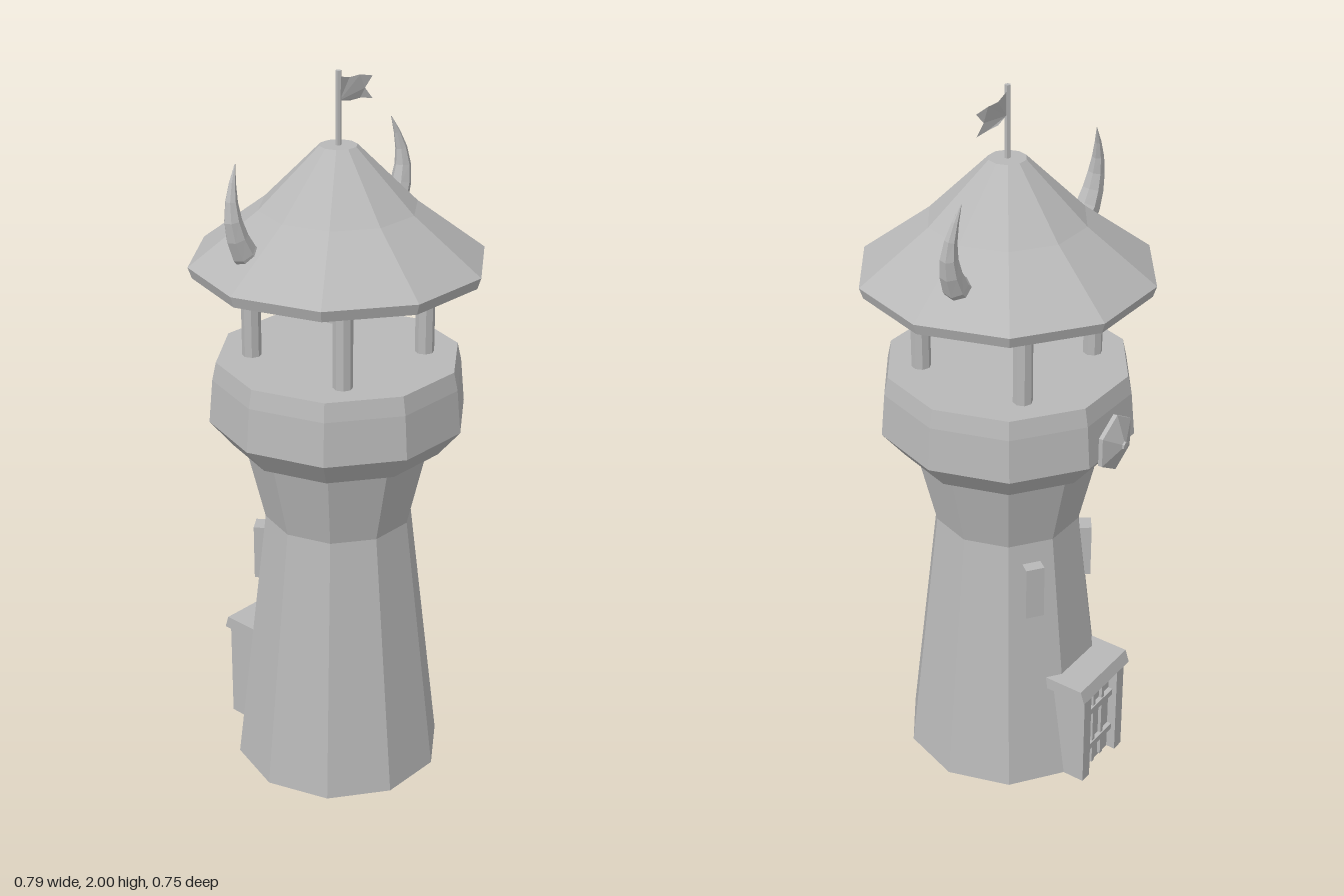
import * as THREE from 'three';

const SIDES = 10;

export function createModel() {
  const root = new THREE.Group();
  const stone = new THREE.MeshStandardMaterial({ color: 0xb8b8b8 });
  stone.name = 'plain grey';
  stone.flatShading = true;
  stone.side = THREE.DoubleSide;

  const add = (name, geometry, x = 0, y = 0, z = 0, parent = root) => {
    const mesh = new THREE.Mesh(geometry, stone);
    mesh.name = name;
    mesh.position.set(x, y, z);
    parent.add(mesh);
    return mesh;
  };
  const box = (name, w, h, d, x, y, z, parent) => add(name, new THREE.BoxGeometry(w, h, d), x, y, z, parent);
  // Ten-sided turned shape with a corner on the x axis
  const turned = (name, profile) => add(name, new THREE.LatheGeometry(
    profile.map(([r, y]) => new THREE.Vector2(r, y)), SIDES, Math.PI / 2));

  // Main masses; the tower is open below and the roof is hollow
  turned('tower', [[0.295, 0], [0.205, 0.77], [0.262, 1.01]]);
  turned('platform', [[0.255, 0.995], [0.29, 0.995], [0.352, 1.07], [0.341, 1.19], [0.33, 1.24], [0, 1.24]]);
  turned('roof', [[0.375, 1.48], [0.385, 1.48], [0.395, 1.51], [0.21, 1.65], [0.05, 1.81], [0, 1.81]]);

  // Four posts between platform and roof
  for (const x of [-0.163, 0.163]) for (const z of [-0.163, 0.163]) {
    add('roofPost', new THREE.CylinderGeometry(0.026, 0.026, 0.25, 8), x, 1.36, z);
  }

  // Curved, tapering horns through the roof
  const horn = (side) => {
    const path = new THREE.CatmullRomCurve3([
      [0.225, 1.525, -0.05], [0.295, 1.59, -0.053], [0.324, 1.68, -0.058], [0.317, 1.745, -0.066], [0.294, 1.81, -0.075],
    ].map(([x, y, z]) => new THREE.Vector3(side * x, y, z)));
    const rings = 7, around = 7;
    const geometry = new THREE.TubeGeometry(path, rings, 1, around);
    const pos = geometry.attributes.position, p = new THREE.Vector3();
    for (let i = 0; i < pos.count; i++) {
      const t = Math.floor(i / (around + 1)) / rings;
      const centre = path.getPointAt(t);
      p.fromBufferAttribute(pos, i).sub(centre).multiplyScalar(0.039 * (1 - Math.pow(t, 1.5)) + 0.001).add(centre);
      pos.setXYZ(i, p.x, p.y, p.z);
    }
    add(side > 0 ? 'leftHorn' : 'rightHorn', geometry);
  };
  horn(1);
  horn(-1);

  // Flag pole and swallow-tailed flag with a slight wave
  add('flagPole', new THREE.CylinderGeometry(0.008, 0.008, 0.2, 6), 0, 1.9, 0);
  const top = [[0.006, 1.983], [0.05, 1.972], [0.09, 1.972], [0.13, 1.963]];
  const bottom = [[0.13, 1.905], [0.09, 1.912], [0.05, 1.912], [0.006, 1.922]];
  const outline = [...top, [0.106, 1.935], ...bottom].map(([x, y]) => new THREE.Vector2(x, y));
  const flag = new THREE.ShapeGeometry(new THREE.Shape(outline));
  const fp = flag.attributes.position;
  for (let i = 0; i < fp.count; i++) fp.setZ(i, -0.008 * Math.sin(fp.getX(i) * 24));
  add('flag', flag);

  // Two window blocks on the facets beside the back one
  for (const side of [-1, 1]) {
    const holder = new THREE.Group();
    holder.name = 'window';
    holder.rotation.y = -side * Math.PI / 5;
    box('windowBlock', 0.052, 0.16, 0.065, 0, 0.63, -0.203, holder);
    root.add(holder);
  }

  // Doorway at the back: jambs, sloped lintel, recessed door with battens
  const door = new THREE.Group();
  door.name = 'doorway';
  root.add(door);
  for (const side of [-1, 1]) {
    box('doorJamb', 0.035, 0.3, 0.115, side * 0.085, 0.15, -0.28, door);
    box('doorStile', 0.012, 0.27, 0.012, side * 0.022, 0.145, -0.314, door);
  }
  box('doorPanel', 0.14, 0.3, 0.07, 0, 0.15, -0.275, door);
  for (const y of [0.08, 0.21]) box('doorBatten', 0.135, 0.02, 0.015, 0, y, -0.316, door);
  const lintel = new THREE.Shape([[0.2, 0.298], [0.345, 0.298], [0.333, 0.335], [0.2, 0.335]]
    .map(([z, y]) => new THREE.Vector2(z, y)));
  const lintelGeometry = new THREE.ExtrudeGeometry(lintel, { depth: 0.235, bevelEnabled: false });
  lintelGeometry.translate(0, 0, -0.1175).rotateY(Math.PI / 2);
  add('doorLintel', lintelGeometry, 0, 0, 0, door);

  // Six-sided shield with a boss on the back of the platform
  const shield = new THREE.Group();
  shield.name = 'shield';
  shield.position.set(0, 1.1, -0.335);
  shield.rotation.x = -Math.PI / 2;
  shield.scale.x = 0.95;
  root.add(shield);
  add('shieldRim', new THREE.CylinderGeometry(0.082, 0.082, 0.012, 6), 0, 0.006, 0, shield);
  add('shieldFace', new THREE.CylinderGeometry(0.012, 0.082, 0.024, 6), 0, 0.024, 0, shield);
  add('shieldBoss', new THREE.CylinderGeometry(0.01, 0.016, 0.014, 6), 0, 0.034, 0, shield);

  return root;
}
